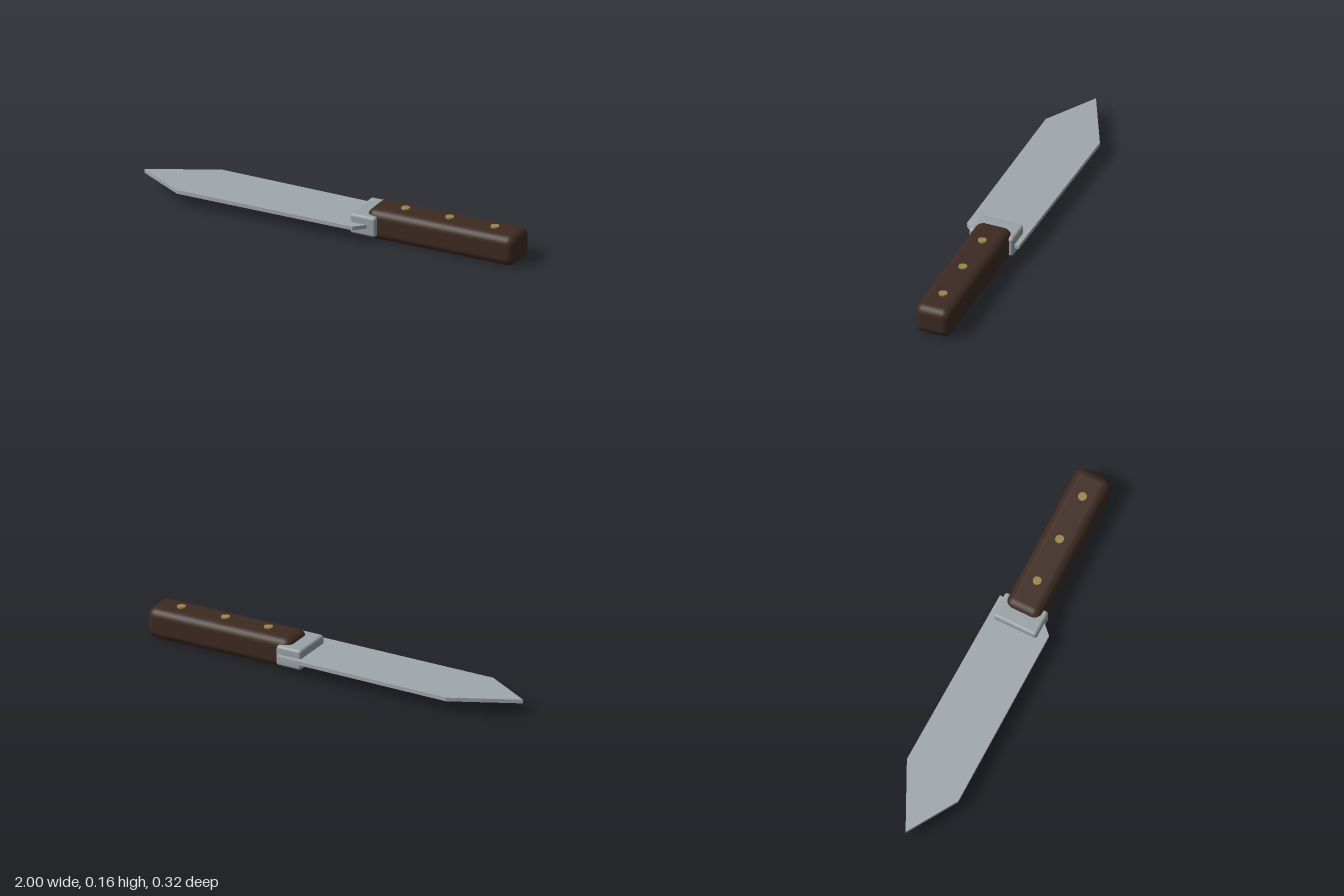
import * as THREE from 'three';
import { RoundedBoxGeometry } from 'three/addons/geometries/RoundedBoxGeometry.js';

const mat = (color) => new THREE.MeshStandardMaterial({ color });

export function createModel() {
  const group = new THREE.Group();
  const steel = mat(0xa0a8ac), bolsterSteel = mat(0x9aa3a8), wood = mat(0x3d2a22), brass = mat(0x9c8448);

  const add = (name, geometry, material, x, y, z) => {
    const mesh = new THREE.Mesh(geometry, material);
    mesh.name = name;
    mesh.position.set(x, y, z);
    group.add(mesh);
  };

  // Flat blade: outline as [x, z], extruded upwards
  const outline = [[-1, 0], [-0.75, 0.152], [0.185, 0.16], [0.235, 0.11],
    [0.262, 0.085], [0.262, -0.139], [-0.67, -0.16]];
  const shape = new THREE.Shape(outline.map(([x, z]) => new THREE.Vector2(x, -z)));
  const blade = new THREE.ExtrudeGeometry(shape, { depth: 0.019, bevelEnabled: false });
  blade.rotateX(-Math.PI / 2);
  add('blade', blade, steel, 0, 0.066, 0);

  // Bolster clamping the blade root
  add('bolster', new RoundedBoxGeometry(0.136, 0.103, 0.228, 4, 0.015), bolsterSteel, 0.212, 0.0755, -0.0025);

  // Rounded wooden handle
  add('handle', new RoundedBoxGeometry(0.786, 0.154, 0.185, 6, 0.044), wood, 0.607, 0.077, -0.003);

  // Brass rivets, standing slightly proud of the top
  for (const x of [0.383, 0.617, 0.857]) {
    add('rivet', new THREE.CylinderGeometry(0.021, 0.021, 0.03, 24), brass, x, 0.146, -0.003);
  }
  return group;
}
